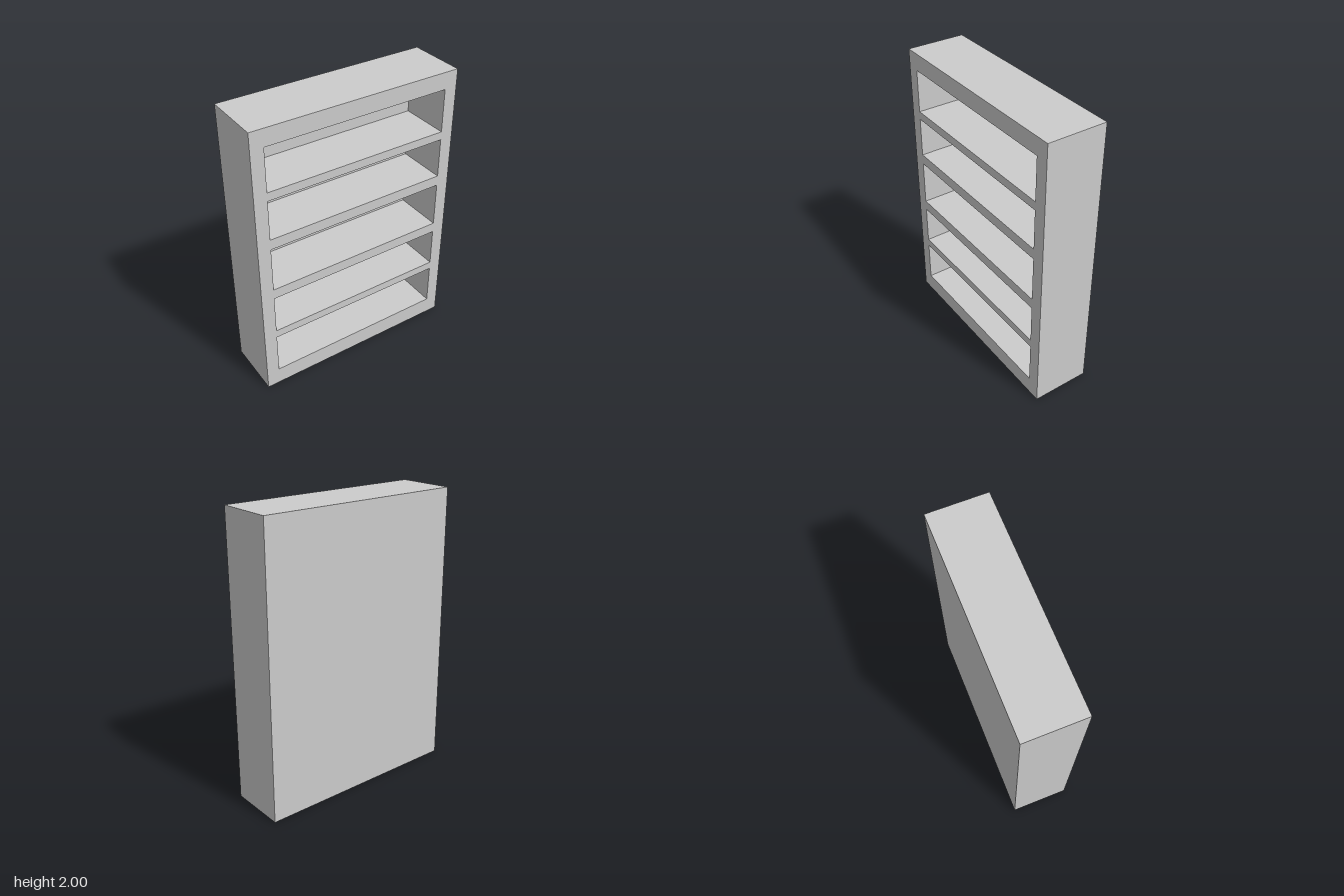
import * as THREE from 'three';

const WIDTH = 1.48, HEIGHT = 2, DEPTH = 0.41, BACK = 0.055;
const OPENING_HALF_WIDTH = 0.65;
// Bottom and top height of each compartment
const OPENINGS = [[0.126, 0.428], [0.487, 0.768], [0.842, 1.164], [1.238, 1.52], [1.579, 1.881]];

// Adds a closed rectangle to a shape or path
function rect(path, halfWidth, bottom, top) {
  path.moveTo(-halfWidth, bottom);
  path.lineTo(halfWidth, bottom);
  path.lineTo(halfWidth, top);
  path.lineTo(-halfWidth, top);
  path.closePath();
  return path;
}

export function createModel() {
  const group = new THREE.Group();
  group.name = 'bookcase';
  const material = new THREE.MeshStandardMaterial({ color: 0xcccccc, flatShading: true });

  // Sides, top, plinth and shelves: one frame pierced by the compartments
  const outline = rect(new THREE.Shape(), WIDTH / 2, 0, HEIGHT);
  for (const [bottom, top] of OPENINGS) {
    outline.holes.push(rect(new THREE.Path(), OPENING_HALF_WIDTH, bottom, top));
  }
  const frame = new THREE.Mesh(
    new THREE.ExtrudeGeometry(outline, { depth: DEPTH - BACK, bevelEnabled: false }), material);
  frame.name = 'shelfFrame';
  frame.position.z = -DEPTH / 2 + BACK;
  group.add(frame);

  // Panel closing the back of the compartments
  const back = new THREE.Mesh(new THREE.BoxGeometry(WIDTH, HEIGHT, BACK), material);
  back.name = 'backPanel';
  back.position.set(0, HEIGHT / 2, -DEPTH / 2 + BACK / 2);
  group.add(back);

  return group;
}
